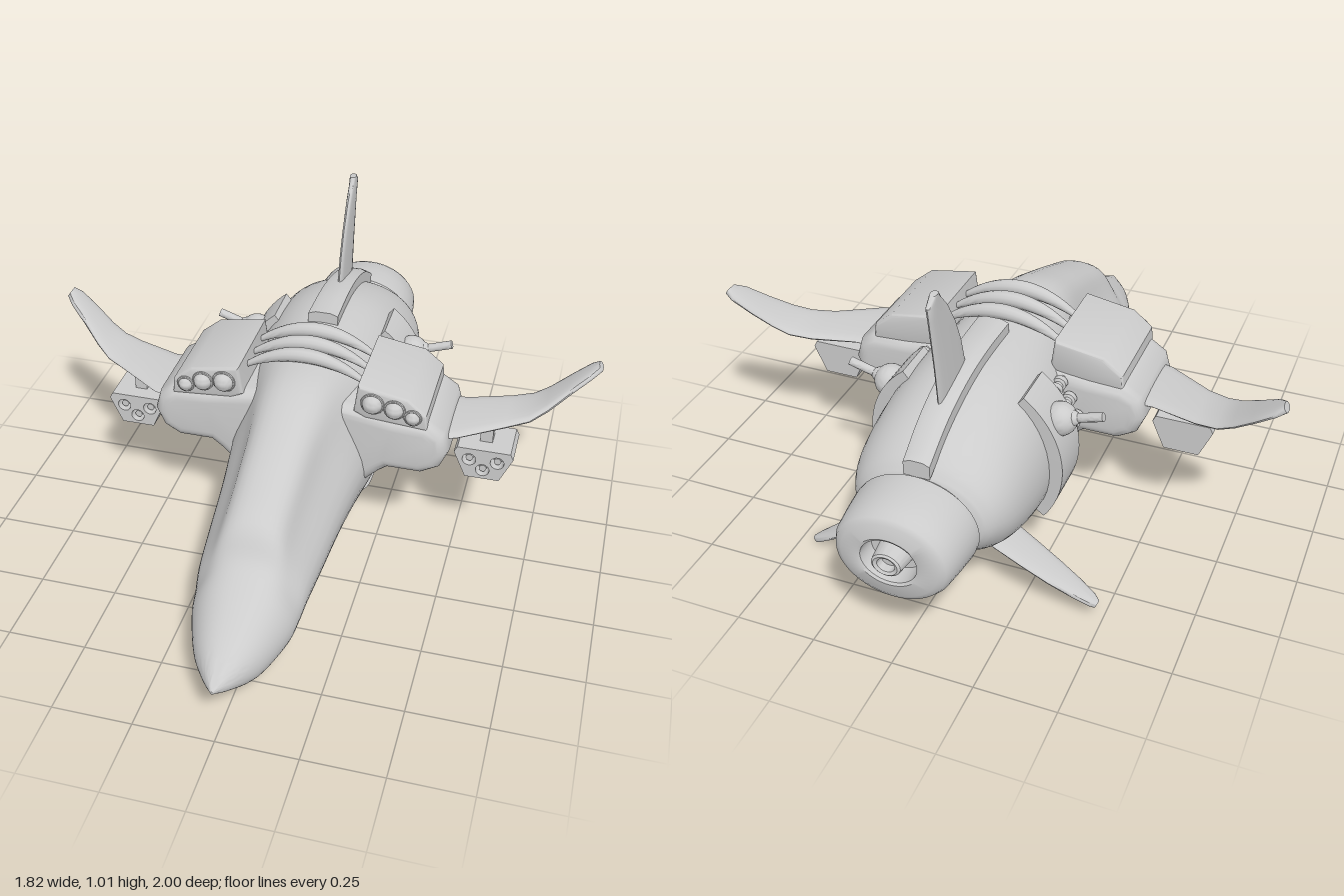
import * as THREE from 'three';
import { toCreasedNormals } from 'three/addons/utils/BufferGeometryUtils.js';
import { RoundedBoxGeometry } from 'three/addons/geometries/RoundedBoxGeometry.js';

const V = (x, y, z) => new THREE.Vector3(x, y, z);

// Skin a list of equal-length rings, cap both ends, and face it outwards.
function loft(rings) {
  const n = rings[0].length, pos = rings.flat().flatMap(p => [p.x, p.y, p.z]), idx = [];
  for (let i = 0; i < rings.length - 1; i++) {
    for (let j = 0; j < n; j++) {
      const a = i * n + j, b = i * n + (j + 1) % n;
      idx.push(a, b, a + n, b, b + n, a + n);
    }
  }
  const end = (rings.length - 1) * n;
  for (let j = 1; j < n - 1; j++) idx.push(0, j + 1, j, end, end + j, end + j + 1);
  const g = new THREE.BufferGeometry();
  g.setAttribute('position', new THREE.Float32BufferAttribute(pos, 3));
  g.setIndex(idx);
  const at = k => V().fromArray(pos, idx[k] * 3);
  let volume = 0;
  for (let k = 0; k < idx.length; k += 3) volume += at(k).dot(at(k + 1).cross(at(k + 2)));
  if (volume < 0) idx.reverse();
  g.setIndex(idx);
  return g;
}

// Thin tapered blade; stations are [x, y, leading z, trailing z].
function blade(stations, half = 0.012) {
  return loft(stations.map(([x, y, lead, trail], i) => {
    const a = stations[Math.max(i - 1, 0)], b = stations[Math.min(i + 1, stations.length - 1)];
    const t = new THREE.Vector2(b[0] - a[0], b[1] - a[1]).normalize();
    const mid = (lead + trail) / 2, chord = (lead - trail) / 2;
    return Array.from({ length: 16 }, (_, k) => {
      const u = k / 16 * Math.PI * 2, h = half * Math.sign(Math.sin(u)) * Math.abs(Math.sin(u)) ** 0.6;
      return V(x - t.y * h, y + t.x * h, mid + chord * Math.cos(u));
    });
  }));
}

// Round bar along a curve whose radius follows radiusAt(0..1).
function bar(curve, radiusAt, across, steps = 20) {
  return loft(Array.from({ length: steps + 1 }, (_, i) => {
    const u = i / steps, p = curve.getPoint(u), side = curve.getTangent(u).cross(across).normalize();
    return Array.from({ length: 12 }, (_, k) => {
      const a = k / 12 * Math.PI * 2, r = radiusAt(u);
      return p.clone().addScaledVector(across, r * Math.cos(a)).addScaledVector(side, r * Math.sin(a));
    });
  }));
}

function polygon(points) {
  return new THREE.Shape(points.map(p => new THREE.Vector2(...p)));
}

function hull() {
  // z, half width, top, bottom, cockpit hollow
  const s = [
    [1.0, 0.004, 0.205, 0.195, 0], [0.94, 0.05, 0.235, 0.15, 0], [0.85, 0.105, 0.285, 0.1, 0],
    [0.73, 0.15, 0.345, 0.085, 0.03], [0.66, 0.162, 0.39, 0.085, 0.1], [0.59, 0.172, 0.478, 0.084, 0.2],
    [0.45, 0.185, 0.54, 0.082, 0.24], [0.28, 0.2, 0.605, 0.08, 0.24], [0.12, 0.22, 0.655, 0.077, 0.17],
    [-0.05, 0.245, 0.665, 0.075, 0.07], [-0.25, 0.263, 0.67, 0.078, 0], [-0.42, 0.27, 0.662, 0.092, 0],
    [-0.56, 0.265, 0.63, 0.125, 0], [-0.67, 0.25, 0.585, 0.175, 0], [-0.74, 0.222, 0.54, 0.225, 0],
    [-0.775, 0.19, 0.5, 0.255, 0]];
  const size = new THREE.CatmullRomCurve3(s.map(r => V(r[1], r[2], r[3])), false, 'catmullrom', 0.5);
  const place = new THREE.CatmullRomCurve3(s.map(r => V(r[0], r[4], 0)), false, 'catmullrom', 0.5);
  return loft(Array.from({ length: 76 }, (_, i) => {
    const { x: w, y: top, z: bottom } = size.getPoint(i / 75), { x: z, y: hollow } = place.getPoint(i / 75);
    const mid = bottom + (top - bottom) * 0.46;
    return Array.from({ length: 48 }, (_, k) => {
      const a = k / 48 * Math.PI * 2, c = Math.cos(a), sn = Math.sin(a);
      const pinch = sn > 0 ? 1 - hollow * Math.sin(Math.PI * sn ** 1.4) : 1;
      return V(w * Math.sign(c) * Math.abs(c) ** 0.9 * pinch, mid + sn * (sn > 0 ? top - mid : mid - bottom), z);
    });
  }));
}

export function createModel() {
  const model = new THREE.Group();
  const material = new THREE.MeshStandardMaterial({ color: 0xcccccc, side: THREE.DoubleSide });

  function add(name, geometry, crease = 0.6) {
    const mesh = new THREE.Mesh(toCreasedNormals(geometry, crease), material);
    mesh.name = name;
    model.add(mesh);
  }
  // Add a left part and its mirror image.
  function both(name, geometry, crease) {
    const flip = geometry.index ? geometry.toNonIndexed() : geometry.clone();
    const p = flip.attributes.position, a = V(), b = V();
    flip.scale(-1, 1, 1);
    for (let i = 0; i < p.count; i += 3) {
      a.fromBufferAttribute(p, i + 1);
      b.fromBufferAttribute(p, i + 2);
      p.setXYZ(i + 1, b.x, b.y, b.z);
      p.setXYZ(i + 2, a.x, a.y, a.z);
    }
    add(name + 'Left', geometry, crease);
    add(name + 'Right', flip, crease);
  }

  add('hull', hull(), 1);

  // Shoulders beside the cockpit
  const shoulder = new THREE.ExtrudeGeometry(polygon([[0.1, 0.3], [0.19, 0.32], [0.24, 0.37], [0.28, 0.4],
    [0.39, 0.4], [0.425, 0.42], [0.44, 0.455], [0.43, 0.49], [0.4, 0.51], [0.3, 0.515], [0.1, 0.54]]),
    { depth: 0.25, bevelThickness: 0.045, bevelSize: 0.042, bevelSegments: 6 });
  both('shoulder', shoulder.translate(0, 0, -0.19), 0.9);

  // Launchers on the shoulders, with rounded missile tips
  const launcher = new THREE.ExtrudeGeometry(polygon([[0.19, 0.57], [0.2, 0.65], [0.345, 0.625], [0.4, 0.58],
    [0.405, 0.54], [0.22, 0.555]]),
    { depth: 0.29, bevelThickness: 0.012, bevelSize: 0.01, bevelSegments: 3 });
  both('launcher', launcher.translate(0, 0, -0.205));
  for (const [x, y, r] of [[0.24, 0.605, 0.033], [0.31, 0.595, 0.03], [0.368, 0.575, 0.024]]) {
    both('missileTip', new THREE.SphereGeometry(r, 20, 14).translate(x, y, 0.095));
    both('missileRim', new THREE.TorusGeometry(r, 0.005, 8, 24).translate(x, y, 0.098));
  }

  // Arched struts between the launchers
  for (const z of [-0.15, -0.07, 0.005]) {
    const arch = new THREE.QuadraticBezierCurve3(V(-0.2, 0.615, z), V(0, 0.755, z), V(0.2, 0.615, z));
    add('archStrut', bar(arch, u => 0.008 + 0.016 * Math.sin(Math.PI * u), V(0, 0, 1)), 1);
  }

  // Bent wings
  both('wing', blade([[0.4, 0.482, 0.07, -0.19], [0.5, 0.483, 0.04, -0.19], [0.64, 0.487, -0.05, -0.23],
    [0.71, 0.498, -0.085, -0.248], [0.76, 0.525, -0.12, -0.26], [0.82, 0.57, -0.165, -0.278],
    [0.88, 0.615, -0.205, -0.29], [0.905, 0.632, -0.235, -0.28]], 0.013), 0.9);

  // Gun pods hung under the wings, with three open bores
  const pod = polygon([[0.5, 0.42], [0.49, 0.4], [0.53, 0.31], [0.64, 0.31], [0.68, 0.4], [0.67, 0.42]]);
  const bores = [[0.54, 0.378], [0.63, 0.378], [0.585, 0.343]];
  for (const [x, y] of bores) pod.holes.push(new THREE.Path().absarc(x, y, 0.022, 0, Math.PI * 2, true));
  both('gunPod', new THREE.ExtrudeGeometry(pod, { depth: 0.04, bevelEnabled: false }).translate(0, 0, -0.04));
  both('gunPodBack', new THREE.ExtrudeGeometry(polygon(pod.getPoints()), { depth: 0.105, bevelEnabled: false })
    .translate(0, 0, -0.145));
  for (const [x, y] of bores) {
    both('gunBarrel', new THREE.CylinderGeometry(0.012, 0.012, 0.04, 16).rotateX(Math.PI / 2).translate(x, y, -0.03));
  }
  both('gunPodPost', new THREE.BoxGeometry(0.04, 0.07, 0.05).translate(0.585, 0.45, -0.075));

  // Curved flank panels wrapped round the hull
  both('flankPanel', loft(Array.from({ length: 21 }, (_, i) => {
    const a = THREE.MathUtils.degToRad(-36 + i * 4.4), y = Math.sin(a), shift = 0.012 * y;
    return [[0.31, -0.305], [0.31, -0.455], [0.25, -0.455], [0.25, -0.305]]
      .map(([r, z]) => V(r * Math.cos(a), 0.37 + r * y, z - shift));
  })));

  // Turrets on the panels
  both('turretBall', new THREE.SphereGeometry(0.052, 24, 16).translate(0.275, 0.51, -0.38), 1);
  const aim = new THREE.LineCurve3(V(0.29, 0.515, -0.38), V(0.408, 0.552, -0.385));
  both('turretBarrel', bar(aim, u => (u < 0.35 ? 0.038 - 0.06 * u : 0.014), V(0, 0, 1)));

  // Beaded hoses from shoulder to panel
  const bead = [[0.012, -0.06], [0.012, -0.035], [0.022, -0.03], [0.022, -0.012], [0.014, -0.008], [0.014, 0.008],
    [0.022, 0.012], [0.022, 0.03], [0.012, 0.035], [0.012, 0.06]].map(p => new THREE.Vector2(...p));
  for (const [x, y] of [[0.225, 0.54], [0.255, 0.49], [0.28, 0.43]]) {
    both('hose', new THREE.LatheGeometry(bead, 14).rotateX(Math.PI / 2).translate(x, y, -0.27));
  }

  // Spine rail following the back of the hull
  const spine = new THREE.CatmullRomCurve3([V(0, 0.69, -0.225), V(0, 0.688, -0.38), V(0, 0.668, -0.52),
    V(0, 0.62, -0.66), V(0, 0.545, -0.785)]);
  add('spineRail', loft(spine.getPoints(24).map((p, i) => {
    const w = 0.05 - 0.0004 * i;
    return [[-w, -0.035], [w, -0.035], [w, 0.008], [w * 0.5, 0.017], [-w * 0.5, 0.017], [-w, 0.008]]
      .map(([x, y]) => V(x, p.y + y, p.z));
  })));

  // Tail fins
  add('dorsalFin', blade([[0, 0.6, -0.42, -0.622], [0, 0.69, -0.445, -0.632], [0, 0.78, -0.47, -0.643],
    [0, 0.86, -0.505, -0.655], [0, 0.94, -0.555, -0.667], [0, 0.985, -0.595, -0.675],
    [0, 1.01, -0.612, -0.645]], 0.011), 0.9);
  const finShape = [[0, -0.5, -0.645], [0.35, -0.525, -0.65], [0.6, -0.545, -0.65], [0.8, -0.565, -0.643],
    [0.95, -0.585, -0.634], [1, -0.602, -0.625]];
  for (const [name, tipX, tipY] of [['ventralFinLeft', 0.45, 0.012], ['ventralFinRight', -0.48, 0.052]]) {
    const rootX = 0.13 * Math.sign(tipX);
    add(name, blade(finShape.map(([u, lead, trail]) =>
      [rootX + (tipX - rootX) * u, 0.215 + (tipY - 0.215) * u, lead, trail])), 0.9);
  }

  // Belly blocks with a raised rim round a sunken floor
  const tilt = g => g.rotateZ(0.6).translate(0.13, 0.115, -0.218);
  both('bellyBlock', tilt(new RoundedBoxGeometry(0.13, 0.05, 0.26, 4, 0.022)));
  const frame = new THREE.Shape().absellipse(0, 0, 0.055, 0.12, 0, Math.PI * 2);
  const squircle = (w, h) => Array.from({ length: 32 }, (_, k) => {
    const c = Math.cos(k * Math.PI / 16), s = Math.sin(k * Math.PI / 16);
    return [w * Math.sign(c) * Math.abs(c) ** 0.4, h * Math.sign(s) * Math.abs(s) ** 0.4];
  });
  frame.setFromPoints(squircle(0.055, 0.12).map(p => new THREE.Vector2(...p)));
  frame.holes.push(polygon(squircle(0.036, 0.095)));
  both('bellyRim', tilt(new THREE.ExtrudeGeometry(frame, { depth: 0.012, bevelThickness: 0.004, bevelSize: 0.004,
    bevelSegments: 2 }).rotateX(Math.PI / 2).translate(0, -0.022, 0)));

  // Engine: neck, hollow nozzle and centre plug, slightly wider than tall
  const engine = (name, points) => add(name, new THREE.LatheGeometry(points.map(p => new THREE.Vector2(...p)), 48)
    .rotateX(-Math.PI / 2).scale(1.22, 1, 1).translate(0, 0.363, 0), 0.7);
  engine('engineNeck', [[0, 0.7], [0.135, 0.7], [0.145, 0.765], [0.138, 0.77], [0.138, 0.8], [0, 0.8]]);
  engine('engineNozzle', [[0, 0.785], [0.145, 0.785], [0.156, 0.795], [0.157, 0.815], [0.152, 0.88], [0.145, 0.945],
    [0.136, 0.966], [0.12, 0.976], [0.078, 0.985], [0.07, 0.98], [0.066, 0.92], [0, 0.92]]);
  engine('enginePlug', [[0, 0.91], [0.045, 0.91], [0.04, 0.96], [0.036, 0.995], [0.03, 1], [0.022, 0.995],
    [0.02, 0.97], [0, 0.97]]);

  return model;
}
